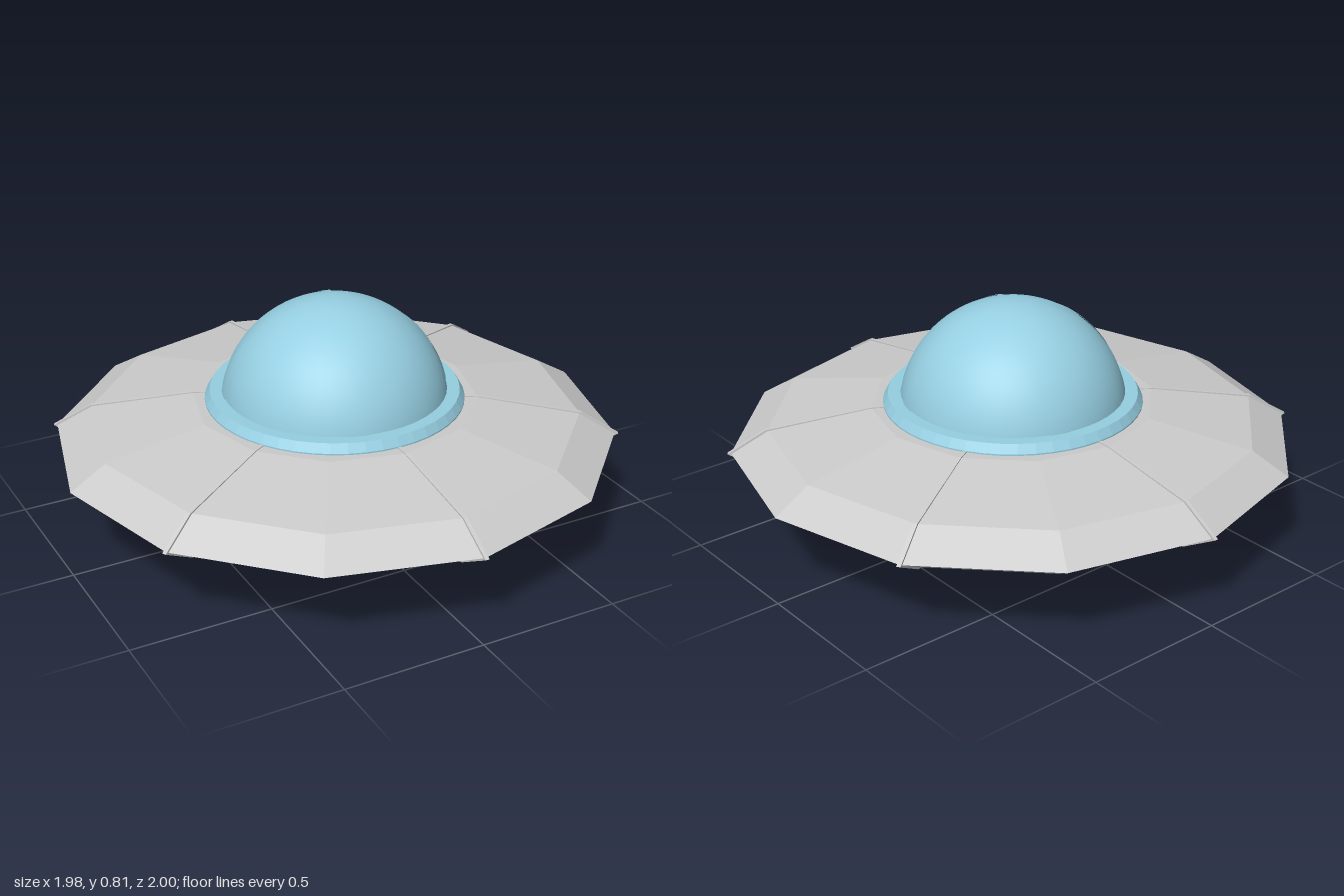
import * as THREE from 'three';

const V = (pts) => pts.map(([x, y]) => new THREE.Vector2(x, y));

export function createModel() {
  const model = new THREE.Group();
  model.name = 'flyingSaucer';
  const hullMat = new THREE.MeshStandardMaterial({ color: 0xcccccc, flatShading: true });
  const glassMat = new THREE.MeshStandardMaterial({ color: 0x96cfe2 });
  const ribMat = new THREE.MeshStandardMaterial({ color: 0x96cfe2, side: THREE.DoubleSide });
  const ringMat = new THREE.MeshStandardMaterial({ color: 0x96cfe2, flatShading: true });
  const bellyMat = new THREE.MeshStandardMaterial({ color: 0x111111 });

  const add = (name, geometry, material, y = 0, parent = model) => {
    const mesh = new THREE.Mesh(geometry, material);
    mesh.name = name;
    mesh.position.y = y;
    parent.add(mesh);
    return mesh;
  };

  // Twelve-sided disc, with a corner on the front axis
  const hull = V([[0, 0.18], [0.5, 0.18], [0.86, 0.238], [0.988, 0.315],
    [0.86, 0.392], [0.5, 0.45], [0, 0.45]]);
  add('disc', new THREE.LatheGeometry(hull, 12), hullMat);

  // Three thin blades right across the disc make six raised panel seams
  const half = [[0.5, 0.177], [0.865, 0.234], [1, 0.315], [0.865, 0.396], [0.5, 0.453]];
  const outline = V([...half, ...half.map(([x, y]) => [-x, y]).reverse()]);
  const seamGeo = new THREE.ExtrudeGeometry(new THREE.Shape(outline), { depth: 0.014, bevelEnabled: false });
  seamGeo.translate(0, 0, -0.007);
  const seams = new THREE.Group();
  seams.name = 'panelSeams';
  model.add(seams);
  for (let i = 0; i < 3; i++) {
    add('panelSeam', seamGeo, hullMat, 0, seams).rotation.y = Math.PI / 2 + (i * Math.PI) / 3;
  }

  // Black belly bulging out below the disc
  add('belly', new THREE.SphereGeometry(0.4, 48, 24, 0, Math.PI * 2, Math.PI / 2, Math.PI / 2), bellyMat, 0.4);

  // Dome and its bevelled collar
  add('dome', new THREE.SphereGeometry(0.4, 48, 24, 0, Math.PI * 2, 0, Math.PI / 2), glassMat, 0.41);
  const collar = V([[0.455, 0.44], [0.455, 0.455], [0.437, 0.485], [0.37, 0.485]]);
  add('domeCollar', new THREE.LatheGeometry(collar, 48), ringMat);

  // Four tapering dome ribs meeting at a round cap
  const ribs = new THREE.Group();
  ribs.name = 'domeRibs';
  model.add(ribs);
  const width = 0.19;
  const ribGeo = new THREE.SphereGeometry(0.403, 4, 24, Math.PI - 0.28 - width / 2, width, 0.15, Math.PI / 2 - 0.15);
  for (let i = 0; i < 4; i++) {
    add('domeRib', ribGeo, ribMat, 0.41, ribs).rotation.y = (i * Math.PI) / 2;
  }
  add('domeCap', new THREE.SphereGeometry(0.403, 32, 4, 0, Math.PI * 2, 0, 0.2), ribMat, 0.41);

  return model;
}
